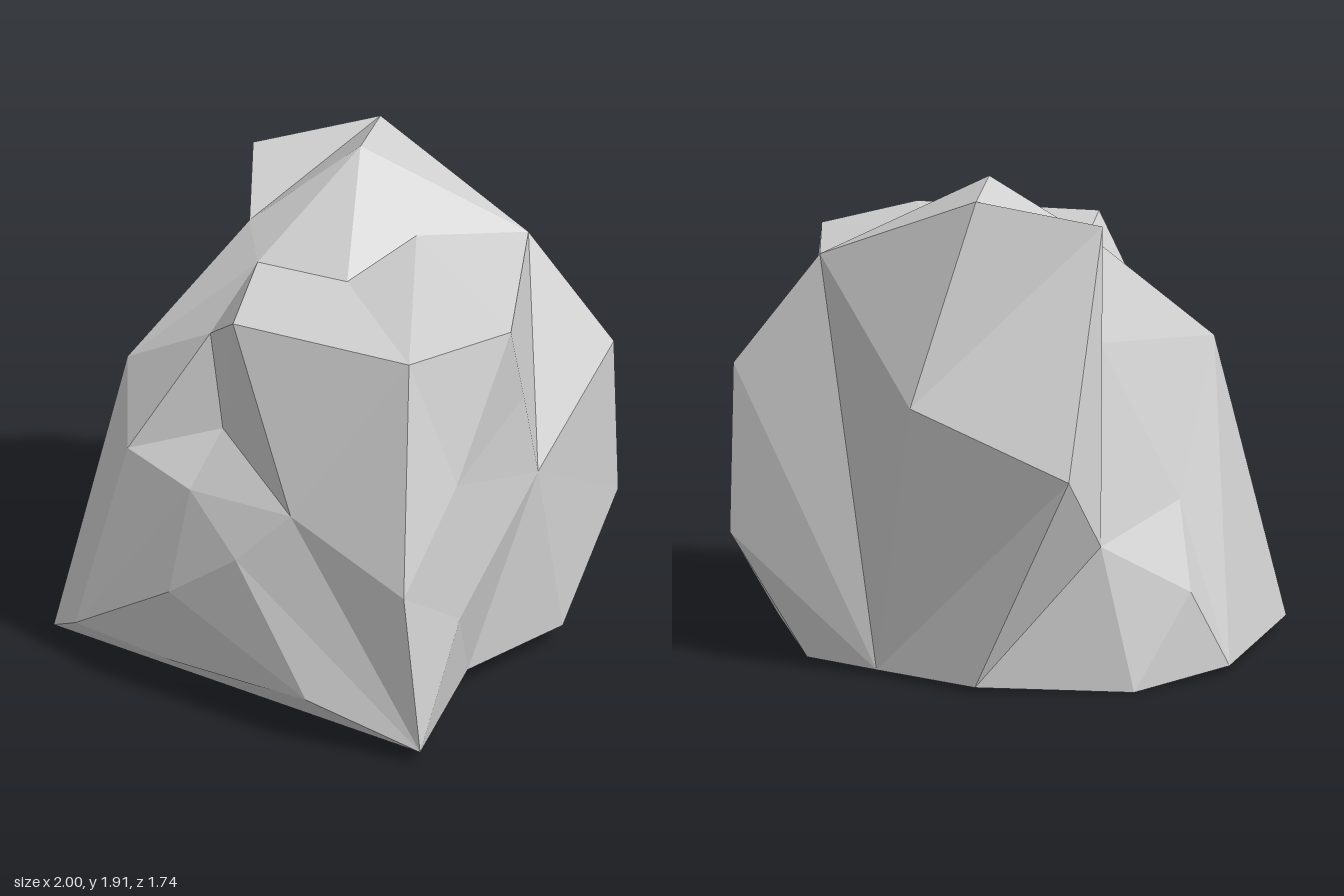
import * as THREE from 'three';

// corners shared by neighbouring rings
const frontCorner = [0.75, 1.55, 0.47], rightRim = [0.88, 1.54, 0], backRim = [0.48, 1.59, -0.62];
const backBulge = [0.78, 1.15, -0.77], peakBack = [-0.22, 1.88, -0.59], peakLeft = [-0.6, 1.77, -0.28];
const saddle = [-0.39, 1.62, 0.01], shoulder = [-0.58, 1.18, 0.53], notch = [-0.19, 1.4, 0.51];
const chest = [0.39, 0.89, 0.75], frontRim = [0.03, 1.57, 0.65];

// closed cross-sections from the foot to the crown, each running from the +x+z corner towards -z
const foot = [
  [1, 0.05, 0.72], [0.77, 0.09, 0.13], [0.82, 0.08, -0.4], [0.44, 0.03, -0.77], [0.12, 0.02, -0.77],
  [-0.36, 0.02, -0.81], [-0.87, 0, -0.47], [-1, 0.03, 0], [-0.76, 0.05, 0.76],
  [-0.6, 0.14, 0.83], [-0.07, 0.1, 0.79], [0.55, 0.19, 0.86],
];
// the foot again, raised at the left flank and the front
const skirt = [
  ...foot.slice(0, 7), [-0.94, 0.35, -0.18], ...foot.slice(7, 10), [-0.11, 0.45, 0.87], foot[11],
];
const waist = [
  [0.92, 0.69, 0.72], [0.92, 0.46, 0.37], [0.84, 0.83, -0.22], [0.77, 0.49, -0.81], backBulge, backRim,
  [-0.1, 1.1, -0.87], [-0.76, 0.87, -0.76], [-0.75, 0.57, -0.52], [-0.77, 0.66, 0], shoulder,
  [-0.43, 0.91, 0.72], [-0.11, 0.84, 0.74], [0.2, 0.68, 0.85], chest,
];
const upper = [
  frontCorner, [0.89, 1.02, 0.35], [0.85, 1.2, -0.12], backRim, backBulge, backRim, peakBack, peakLeft,
  [-0.57, 1.3, -0.25], shoulder, notch, [-0.09, 1.04, 0.56], chest,
];
const rim = [frontCorner, rightRim, backRim, peakBack, peakLeft, saddle, shoulder, notch, frontRim];
const crown = [[0.23, 1.65, -0.24], [-0.09, 1.91, -0.3], saddle, [-0.21, 1.57, 0.19], [0.15, 1.56, 0.09]];

const positions = [];
function facet(a, b, c) {
  if (a !== b && b !== c && c !== a) positions.push(...a, ...b, ...c);
}

// join two rings; each letter says which ring moves on: L the lower one, U the upper one
function band(lower, above, steps) {
  let i = 0, j = 0;
  for (const step of steps) {
    const a = lower[i % lower.length], b = above[j % above.length];
    if (step === 'L') facet(a, lower[++i % lower.length], b);
    else facet(a, above[++j % above.length], b);
  }
}

// close a ring with a fan from one of its corners
function cap(ring, start, facesUp) {
  const n = ring.length;
  for (let k = 1; k < n - 1; k++) {
    const a = ring[(start + k) % n], b = ring[(start + k + 1) % n];
    if (facesUp) facet(ring[start], a, b);
    else facet(ring[start], b, a);
  }
}

export function createModel() {
  positions.length = 0;
  cap(foot, 8, false);
  band(foot, skirt, 'LULULULULULUULULULUULLULU');
  band(skirt, waist, 'ULULULLUUUULULLULULLUULULLUU');
  band(waist, upper, 'ULLUUULLULLUULLULLULUULULLLU');
  band(upper, rim, 'LULULLLLULULULULULULLU');
  band(rim, crown, 'LLULULLULLLULU');
  cap(crown, 1, true);

  const geometry = new THREE.BufferGeometry();
  geometry.setAttribute('position', new THREE.Float32BufferAttribute(positions, 3));
  geometry.computeVertexNormals(); // unshared corners keep every facet flat

  const stone = new THREE.MeshStandardMaterial({ color: 0xd0d0d0 });
  stone.name = 'stone grey';
  stone.flatShading = true;
  const rock = new THREE.Mesh(geometry, stone);
  rock.name = 'boulder';

  const group = new THREE.Group();
  group.name = 'rock';
  group.add(rock);
  return group;
}
